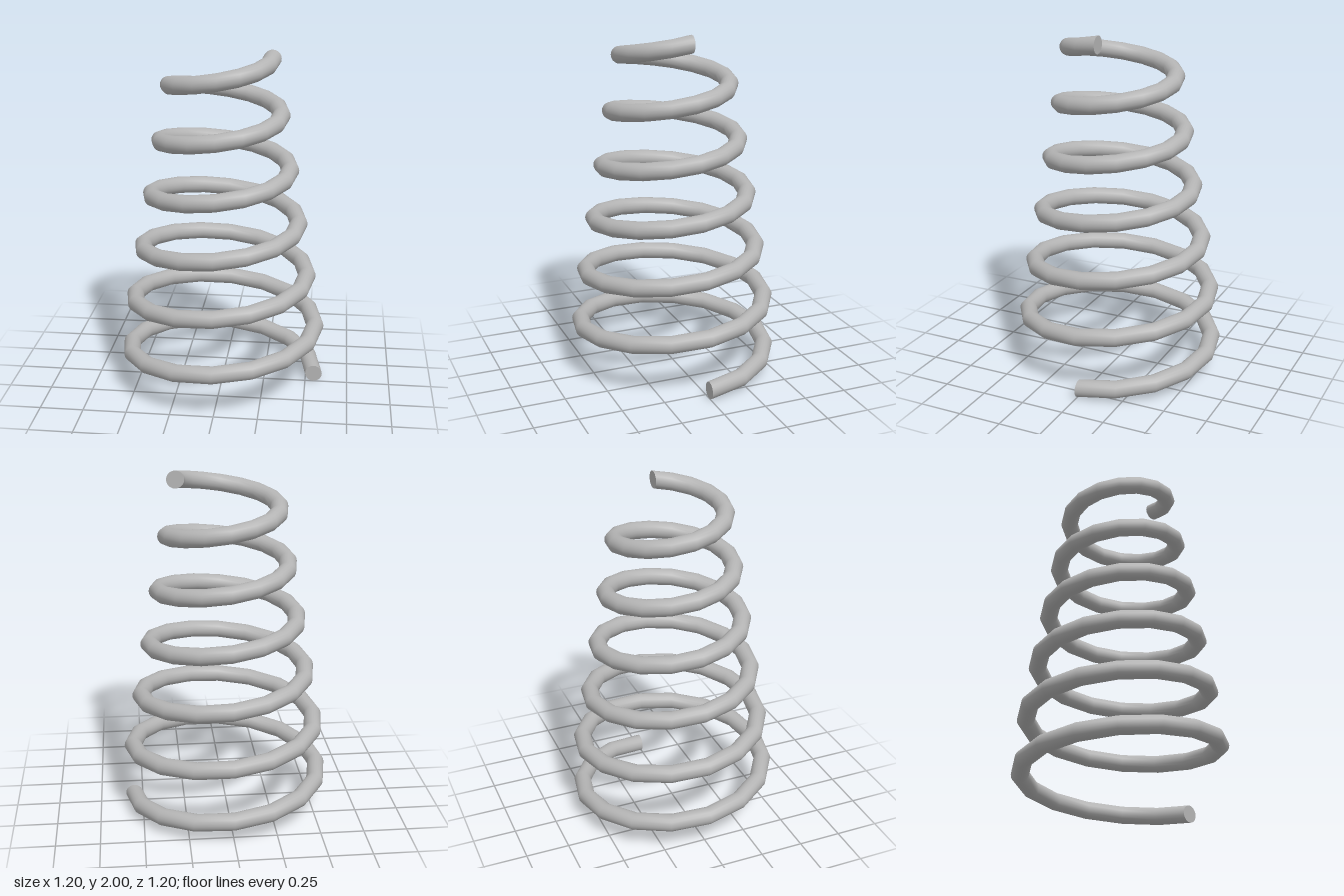
import * as THREE from 'three';

const TURNS = 6, STEPS = 16, SIDES = 20, WIRE = 0.05;
const BASE_RADIUS = 0.55, TOP_RADIUS = 0.275;

// Coil radius: constant for the first turn, then tapering evenly to the top
function coilRadius(turn) {
  const t = Math.max(0, turn - 1) / (TURNS - 1);
  return BASE_RADIUS + (TOP_RADIUS - BASE_RADIUS) * t;
}

// Upright circular sections swept around a tapering helix
function coilGeometry() {
  const positions = [], indices = [];
  const rings = TURNS * STEPS;
  for (let i = 0; i <= rings; i++) {
    const turn = i / STEPS, a = turn * Math.PI * 2;
    const y = WIRE + (2 - 2 * WIRE) * (turn / TURNS);
    for (let j = 0; j < SIDES; j++) {
      const b = (j / SIDES) * Math.PI * 2;
      const r = coilRadius(turn) + WIRE * Math.cos(b);
      positions.push(r * Math.cos(a), y + WIRE * Math.sin(b), -r * Math.sin(a));
      if (i === rings) continue;
      const k = (j + 1) % SIDES;
      const p = i * SIDES + j, q = i * SIDES + k;
      indices.push(p, p + SIDES, q, q, p + SIDES, q + SIDES);
    }
  }
  const geometry = new THREE.BufferGeometry();
  geometry.setAttribute('position', new THREE.Float32BufferAttribute(positions, 3));
  geometry.setIndex(indices);
  geometry.computeVertexNormals();
  return geometry;
}

export function createModel() {
  const steel = new THREE.MeshStandardMaterial({ color: 0xb4b4b4 });
  steel.name = 'steel grey';

  const group = new THREE.Group();
  group.name = 'conicalSpring';

  const add = (name, geometry) => {
    const mesh = new THREE.Mesh(geometry, steel);
    mesh.name = name;
    group.add(mesh);
    return mesh;
  };

  add('coil', coilGeometry());

  // Flat cut ends of the wire
  add('bottomEnd', new THREE.CircleGeometry(WIRE, SIDES)).position.set(BASE_RADIUS, WIRE, 0);
  const topEnd = add('topEnd', new THREE.CircleGeometry(WIRE, SIDES));
  topEnd.position.set(TOP_RADIUS, 2 - WIRE, 0);
  topEnd.rotation.y = Math.PI;

  return group;
}
